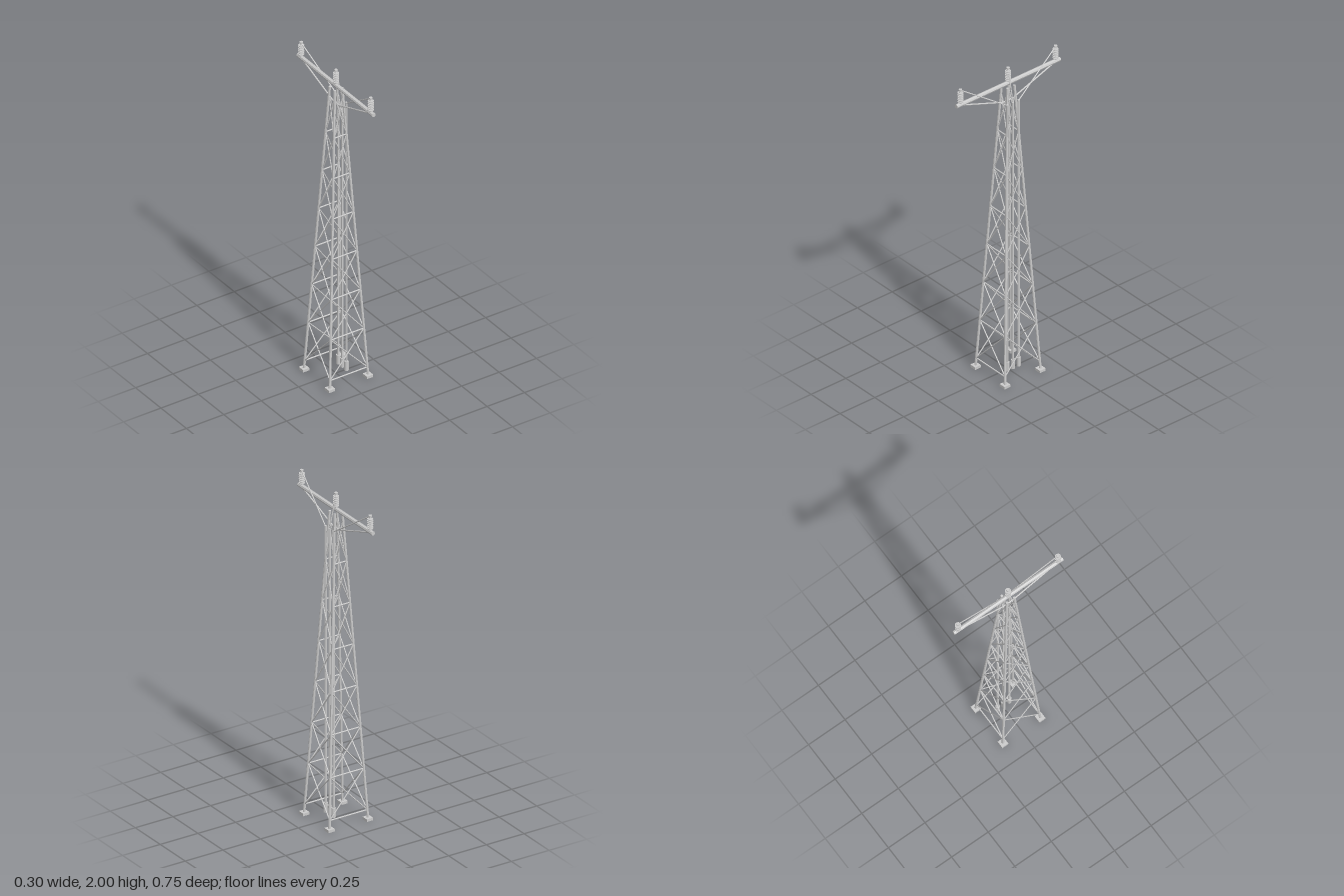
import * as THREE from 'three';

const mat = new THREE.MeshStandardMaterial({ color: 0xcccccc, flatShading: true });
const V = (x, y, z) => new THREE.Vector3(x, y, z);

export function createModel() {
  const root = new THREE.Group();
  root.name = 'transmissionTower';

  const group = (name) => {
    const g = new THREE.Group();
    g.name = name;
    root.add(g);
    return g;
  };
  const add = (parent, name, geometry, x = 0, y = 0, z = 0) => {
    const m = new THREE.Mesh(geometry, mat);
    m.name = name;
    m.position.set(x, y, z);
    parent.add(m);
    return m;
  };
  // faceted bar between two points
  const bar = (parent, name, a, b, r, sides = 8) => {
    const d = b.clone().sub(a);
    const m = add(parent, name, new THREE.CylinderGeometry(r, r, d.length(), sides));
    m.position.copy(a).add(b).multiplyScalar(0.5);
    m.quaternion.setFromUnitVectors(V(0, 1, 0), d.normalize());
    return m;
  };

  // half width of the tapering tower at a height
  const topY = 1.885;
  const half = (y) => 0.128 + (0.025 - 0.128) * (y / topY);

  // legs on square footings
  const legs = group('legs');
  for (const sx of [-1, 1]) for (const sz of [-1, 1]) {
    const t = half(topY), b = half(0.01);
    bar(legs, 'leg', V(sx * b, 0.01, sz * b), V(sx * t, topY, sz * t), 0.0075);
    add(legs, 'footing', new THREE.BoxGeometry(0.042, 0.016, 0.042), sx * 0.127, 0.008, sz * 0.127);
  }

  // lattice: crossed diagonals on all sides, level struts on front and back
  const lattice = group('lattice');
  const y0 = 0.062, step = 0.2535;
  for (let i = 0; i < 7; i++) {
    const ya = y0 + i * step, yb = ya + step;
    const a = half(ya), b = half(yb);
    for (const s of [-1, 1]) {
      bar(lattice, 'strut', V(-a, ya, s * a), V(a, ya, s * a), 0.004);
      for (const d of [-1, 1]) {
        bar(lattice, 'diagonal', V(-d * a, ya, s * a), V(d * b, yb, s * b), 0.0035);
        bar(lattice, 'sideDiagonal', V(s * a, ya, -d * a), V(s * b, yb, d * b), 0.0035);
      }
    }
  }

  // crossarm with braces underneath
  const arm = group('crossarm');
  bar(arm, 'beam', V(0, 1.898, -0.3725), V(0, 1.898, 0.3725), 0.0125);
  for (const s of [-1, 1])
    bar(arm, 'brace', V(0, 1.89, s * 0.33), V(0, 1.782, s * 0.035), 0.0045);
  bar(arm, 'braceTie', V(0, 1.782, -0.037), V(0, 1.782, 0.037), 0.0045);

  // insulator profile: thin flat discs on a core, with a small cap
  const profile = [[0, 1.9], [0.008, 1.9]];
  for (let i = 0; i < 6; i++) {
    const y = 1.917 + i * 0.0115;
    profile.push([0.008, y], [0.0175, y], [0.0175, y + 0.004], [0.008, y + 0.004]);
  }
  profile.push([0.005, 1.986], [0.005, 1.991], [0.01, 1.991], [0.01, 2.0], [0, 2.0]);
  const insulator = new THREE.LatheGeometry(profile.map(([r, y]) => new THREE.Vector2(r, y)), 12);

  // three insulators, each wired to a pipe running down the tower
  const lines = group('powerLines');
  for (const s of [-1, 0, 1]) {
    const z = s * 0.04, x = 0.043;
    add(lines, 'insulator', insulator, 0, 0, s * 0.342);
    bar(lines, 'conductor', V(0, 1.993, s * 0.342), V(x, 1.785, z), 0.0035);
    bar(lines, 'pipe', V(x, 0.06, z), V(x, 1.79, z), 0.007);
    add(lines, 'pipeEnd', new THREE.CylinderGeometry(0.0125, 0.0125, 0.058, 12), x, 0.056, z);
  }
  return root;
}
